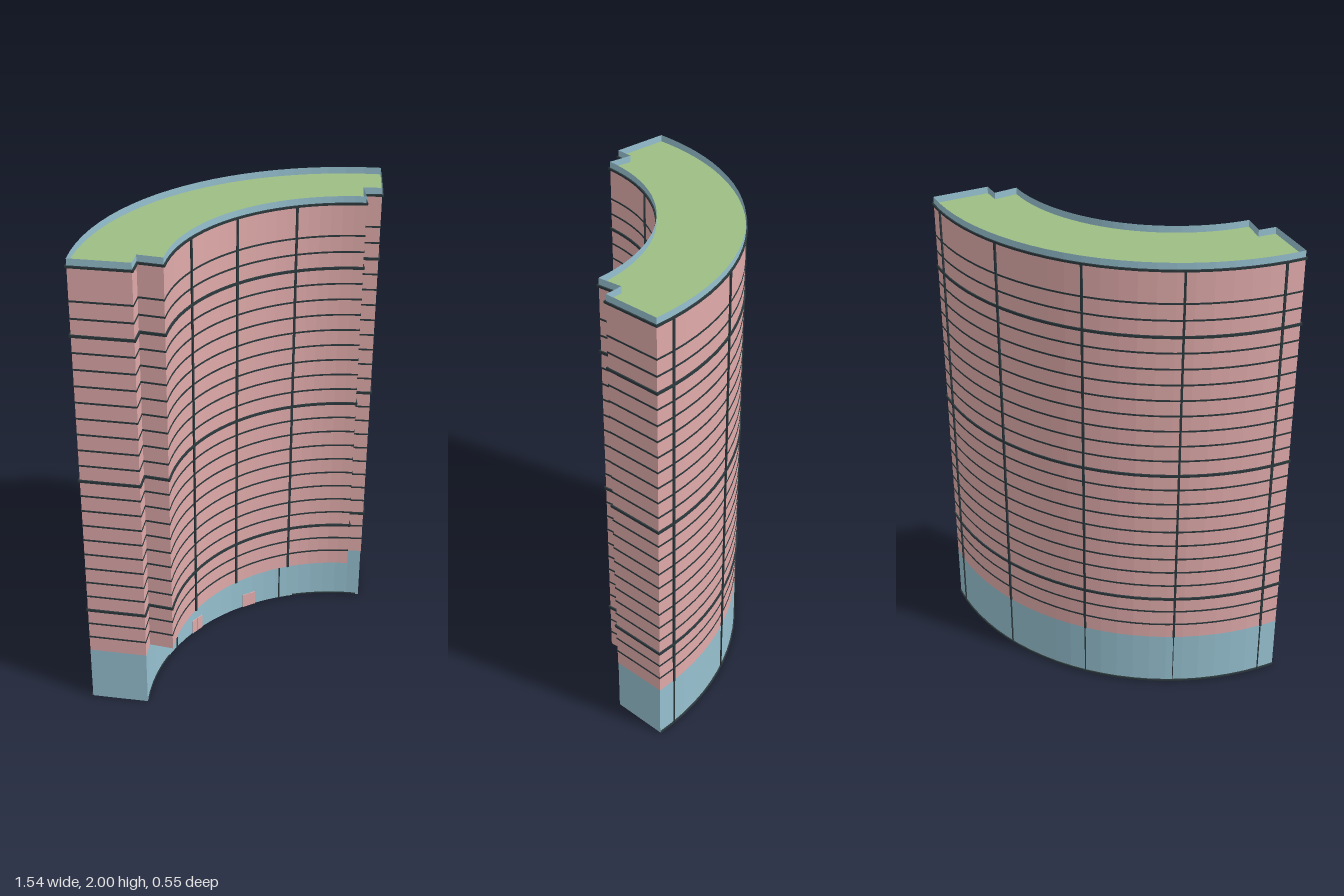
import * as THREE from 'three';

const CZ = 0.78;                       // centre of all the arcs
const R_OUT = 1.05, R_IN = 0.71, R_BASE = 0.814;
const rad = THREE.MathUtils.degToRad;
const polar = (r, deg) => [r * Math.sin(rad(deg)), CZ - r * Math.cos(rad(deg))];

function arc(r, from, to, n) {
  const pts = [];
  for (let i = 0; i <= n; i++) pts.push(polar(r, from + (to - from) * i / n));
  return pts;
}

// Pushes a plan line outwards by d, mitred at its corners
function offset(path, d, closed) {
  const n = path.length;
  const normal = (a, b) => {
    const dx = b[0] - a[0], dz = b[1] - a[1], l = Math.hypot(dx, dz);
    return [dz / l, -dx / l];
  };
  return path.map((p, i) => {
    const hasPrev = closed || i > 0, hasNext = closed || i < n - 1;
    const b = hasNext ? normal(p, path[(i + 1) % n]) : null;
    const a = hasPrev ? normal(path[(i - 1 + n) % n], p) : b;
    const c = b || a;
    const k = d / Math.max(0.35, 1 + a[0] * c[0] + a[1] * c[1]);
    return [p[0] + (a[0] + c[0]) * k, p[1] + (a[1] + c[1]) * k];
  });
}

// Strips of flat quads joining successive [path, y] rings
function strips(rings, closed) {
  const pos = [];
  for (let k = 0; k < rings.length - 1; k++) {
    const [lo, y0] = rings[k], [hi, y1] = rings[k + 1];
    const n = lo.length;
    for (let i = 0; i < (closed ? n : n - 1); i++) {
      const j = (i + 1) % n;
      const a0 = [lo[i][0], y0, lo[i][1]], b0 = [lo[j][0], y0, lo[j][1]];
      const a1 = [hi[i][0], y1, hi[i][1]], b1 = [hi[j][0], y1, hi[j][1]];
      pos.push(...b0, ...a0, ...a1, ...b0, ...a1, ...b1);
    }
  }
  const g = new THREE.BufferGeometry();
  g.setAttribute('position', new THREE.Float32BufferAttribute(pos, 3));
  g.computeVertexNormals();
  return g;
}

export function createModel() {
  const mat = (name, color) => {
    const m = new THREE.MeshStandardMaterial({ color, side: THREE.DoubleSide });
    m.name = name;
    return m;
  };
  const pink = mat('pink facade', 0xe0aaaa);
  const blue = mat('blue cladding', 0x96c1d0);
  const green = mat('green roof', 0x9dbd84);
  const dark = mat('dark trim', 0x2c393d);

  const model = new THREE.Group();
  model.name = 'curvedTower';
  const add = (name, geo, material) => {
    const m = new THREE.Mesh(geo, material);
    m.name = name;
    model.add(m);
    return m;
  };

  // Plan outlines: back arc, end wall, front arc, end wall
  const back = arc(R_OUT, -46.7, 46.7, 24);
  const towerPlan = [
    ...back, [0.605, 0.236], [0.55, 0.185],
    ...arc(R_IN, 43.7, -43.7, 24), [-0.55, 0.185], [-0.605, 0.236],
  ];
  const basePlan = [...back, ...arc(R_BASE, 47.9, -47.9, 24)];

  // Walls, parapet and roof
  add('baseWalls', strips([[basePlan, 0], [basePlan, 0.247]], true), blue);
  add('towerWalls', strips([[towerPlan, 0.247], [towerPlan, 1.97]], true), pink);
  add('parapet', strips([[towerPlan, 1.97], [towerPlan, 2]], true), blue);
  const roof = new THREE.ShapeGeometry(
    new THREE.Shape(towerPlan.map(([x, z]) => new THREE.Vector2(x, -z))));
  roof.rotateX(-Math.PI / 2);
  add('roof', roof, green).position.y = 1.972;

  // Raised bands that run along a plan line
  const band = (name, path, y, h, d, closed = true) => {
    const out = offset(path, d, closed);
    add(name, strips([[path, y - h / 2], [out, y - h / 2], [out, y + h / 2], [path, y + h / 2]], closed), dark);
  };
  for (let k = 0; k < 23; k++) {
    const wide = k % 9 === 2;
    band(wide ? 'wideFloorBand' : 'floorBand', towerPlan, 0.317 + 0.069 * k,
      wide ? 0.011 : 0.007, wide ? 0.006 : 0.002);
  }
  band('roofBand', towerPlan, 1.969, 0.009, 0.006);
  band('backKerb', back, 0.005, 0.008, 0.005, false);
  for (const s of [-1, 1]) {
    const a = s > 0 ? [47, 26] : [-26, -47];
    band('frontKerb', arc(R_BASE, a[0], a[1], 6), 0.004, 0.006, 0.003, false);
  }

  // Upright fins and doors, set square to the arcs
  const upright = (name, r, deg, w, d, y0, y1, material) => {
    const m = add(name, new THREE.BoxGeometry(w, y1 - y0, d), material);
    const [x, z] = polar(r, deg);
    m.position.set(x, (y0 + y1) / 2, z);
    m.rotation.y = -rad(deg);
  };
  for (const i of [-2, -1, 0, 1, 2]) {
    upright('backFin', R_OUT, i * 21.2, 0.009, 0.012, 0.247, 1.97, dark);
    upright('backBaseFin', R_OUT, i * 21.2, 0.003, 0.012, 0, 0.247, dark);
    if (Math.abs(i) < 2) upright('frontFin', R_IN, i * 21.5, 0.009, 0.012, 0.247, 1.97, dark);
  }
  for (const s of [-1, 1]) {
    upright('frontBaseFin', R_BASE, s * 21.3, 0.005, 0.01, 0, 0.19, dark);
    for (const t of [-1, 1]) {
      upright('doorLeaf', R_BASE, s * 10.6 + t * 1.15, 0.031, 0.008, 0, 0.067, pink);
    }
  }
  return model;
}
